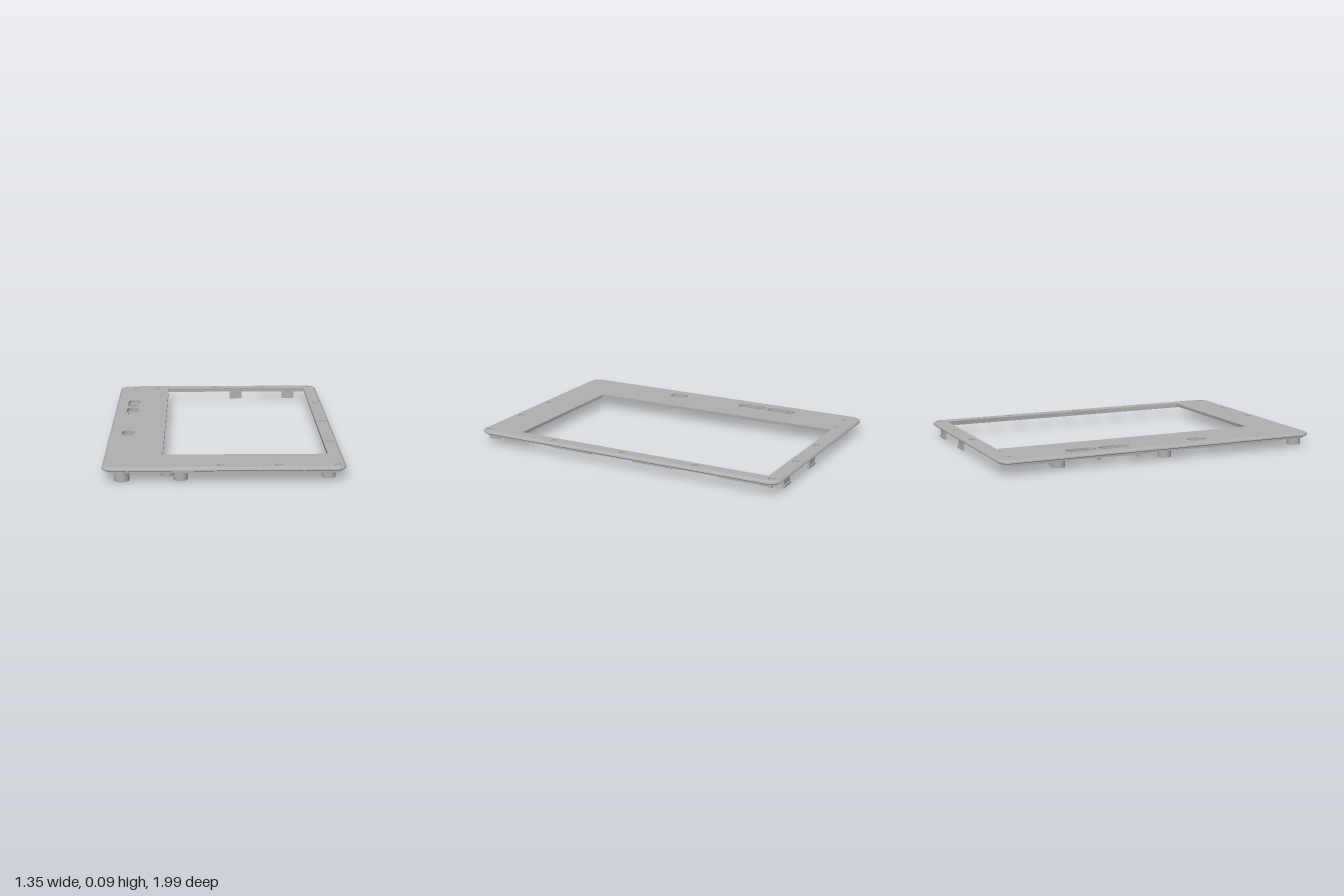
import * as THREE from 'three';
import { toCreasedNormals } from 'three/addons/utils/BufferGeometryUtils.js';

const HX = 0.675, HZ = 0.995, TOP = 0.085, UNDER = 0.066;

// Rounded rectangle drawn counter-clockwise; shape y is -z
function rounded(target, x0, x1, z0, z1, r) {
  const a = -z1, b = -z0;
  target.absarc(x1 - r, a + r, r, -Math.PI / 2, 0);
  target.absarc(x1 - r, b - r, r, 0, Math.PI / 2);
  target.absarc(x0 + r, b - r, r, Math.PI / 2, Math.PI);
  target.absarc(x0 + r, a + r, r, Math.PI, Math.PI * 1.5);
  target.closePath();
  return target;
}

const outline = (inset) =>
  rounded(new THREE.Shape(), -HX + inset, HX - inset, -HZ + inset, HZ - inset, 0.065 - inset);

function circleHole(x, z, r) {
  const p = new THREE.Path();
  p.absarc(x, -z, r, 0, Math.PI * 2);
  return p;
}

// Extrude a shape upward from y0 to y1
function slab(shape, y0, y1) {
  const g = new THREE.ExtrudeGeometry(shape, { depth: y1 - y0, bevelEnabled: false, curveSegments: 10 });
  return toCreasedNormals(g.rotateX(-Math.PI / 2).translate(0, y0, 0), 0.6);
}

// Loft the outline through [inset, height] steps
function edgeLoft(profile) {
  const loops = profile.map(([inset, y]) =>
    outline(inset).getPoints(8).map((p) => new THREE.Vector3(p.x, y, -p.y)));
  const pos = [];
  for (let i = 0; i < loops.length - 1; i++) {
    const lo = loops[i], hi = loops[i + 1], n = lo.length;
    for (let j = 0; j < n; j++) {
      const k = (j + 1) % n;
      for (const v of [lo[j], lo[k], hi[k], lo[j], hi[k], hi[j]]) pos.push(v.x, v.y, v.z);
    }
  }
  const g = new THREE.BufferGeometry();
  g.setAttribute('position', new THREE.Float32BufferAttribute(pos, 3));
  return toCreasedNormals(g, 0.6);
}

export function createModel() {
  const group = new THREE.Group();
  const grey = new THREE.MeshStandardMaterial({ color: 0xb0b0b0 });
  const add = (name, geometry) => {
    const m = new THREE.Mesh(geometry, grey);
    m.name = name;
    group.add(m);
    return m;
  };
  const box = (name, x0, x1, y0, y1, z0, z1) =>
    add(name, new THREE.BoxGeometry(x1 - x0, y1 - y0, z1 - z0)
      .translate((x0 + x1) / 2, (y0 + y1) / 2, (z0 + z1) / 2));
  // Hollow post hanging from the underside
  const boss = (name, x, z, r, y0, bore) => {
    const s = new THREE.Shape();
    s.absarc(x, -z, r, 0, Math.PI * 2);
    s.holes.push(circleHole(x, z, bore));
    add(name, slab(s, y0, UNDER + 0.001));
  };

  // Face plate with window, slots, small holes and dimples
  const slots = [[-0.572, -0.385], [-0.368, -0.182], [0.205, 0.322]];
  const dimples = [[-0.02, -0.945], [0.3, -0.945], [0.63, -0.945], [0.63, -0.473], [0.63, 0],
    [0.63, 0.473], [0.63, 0.943], [0.3, 0.943], [-0.02, 0.943]];
  const face = outline(0.014);
  face.holes.push(rounded(new THREE.Path(), -0.345, 0.592, -0.908, 0.732, 0.002));
  for (const [a, b] of slots) face.holes.push(rounded(new THREE.Path(), -0.602, -0.525, a, b, 0.038));
  for (const x of [-0.57, -0.415]) face.holes.push(circleHole(x, -0.91, 0.013));
  for (const [x, z] of dimples) face.holes.push(circleHole(x, z, 0.02));
  add('facePlate', slab(face, UNDER, TOP));
  for (const [x, z] of dimples)
    add('dimpleFloor', new THREE.CylinderGeometry(0.0205, 0.0205, 0.012, 20).translate(x, UNDER + 0.006, z));

  // Chamfered border and the rim wall below it
  add('borderAndRim', edgeLoft([[0.042, UNDER], [0.042, 0.05], [0.024, 0.05], [0.024, 0.064],
    [0.004, 0.064], [0, 0.068], [0, 0.074], [0.004, 0.08], [0.014, TOP]]));

  // Snap ridges along the rim
  for (const [a, b] of [[-0.36, -0.17], [0.14, 0.2], [0.52, 0.61]])
    box('frontRidge', a, b, 0.055, 0.068, 0.96, 0.993);
  for (const [a, b] of [[0.2, 0.47], [-0.34, -0.08], [-0.9, -0.63]])
    for (const s of [-1, 1]) {
      const x = s * 0.652;
      box('sideRidge', x - 0.012, x + 0.012, 0.05, 0.066, a, b);
    }

  // Screw posts
  boss('screwPost', -0.565, 0.94, 0.042, 0, 0.026);
  boss('screwPost', -0.24, 0.94, 0.039, 0.005, 0.024);
  boss('screwPost', 0.575, 0.94, 0.039, 0.017, 0.024);
  boss('screwPost', -0.565, 0.05, 0.04, 0, 0.025);
  boss('screwPost', -0.565, -0.62, 0.04, 0, 0.025);
  boss('shortPost', -0.315, 0.94, 0.036, 0.03, 0.02);

  // Rear hooks
  for (const x of [0.12, 0.485]) {
    box('rearHook', x - 0.042, x + 0.042, 0, UNDER, -0.974, -0.962);
    box('rearHookLip', x - 0.042, x + 0.042, 0.008, 0.02, -0.98, -0.974);
  }
  box('rearCornerPin', 0.645, 0.66, 0.045, UNDER, -0.96, -0.9);

  // Slot guides, narrowing the middle of each slot
  for (const [a, b] of slots) {
    const c = (a + b) / 2;
    for (const x of [-0.602, -0.525]) box('slotGuide', x - 0.008, x + 0.008, 0.045, 0.074, c - 0.03, c + 0.03);
  }

  // Button carriers beside the slots, each with a small peg
  for (const z of [0.27, -0.27, -0.475]) {
    add('buttonCarrier', new THREE.CylinderGeometry(0.033, 0.033, 0.032, 20).translate(-0.455, 0.051, z));
    add('carrierPeg', new THREE.CylinderGeometry(0.008, 0.008, 0.012, 10).translate(-0.455, 0.031, z));
  }
  for (const z of [-0.14, -0.39, -0.685]) box('clip', -0.625, -0.605, 0.028, UNDER, z - 0.008, z + 0.008);
  box('rearPad', -0.62, -0.5, 0.043, UNDER, -0.66, -0.54);

  // Ribs on the underside of the wide side
  box('longRib', -0.402, -0.392, 0.055, UNDER, -0.85, 0.34);
  box('longRib', -0.635, -0.625, 0.055, UNDER, -0.85, 0.34);
  for (const z of [-0.85, 0.12, 0.34, 0.5, 0.66, 0.8])
    box('crossRib', -0.63, -0.395, 0.055, UNDER, z - 0.005, z + 0.005);

  return group;
}
